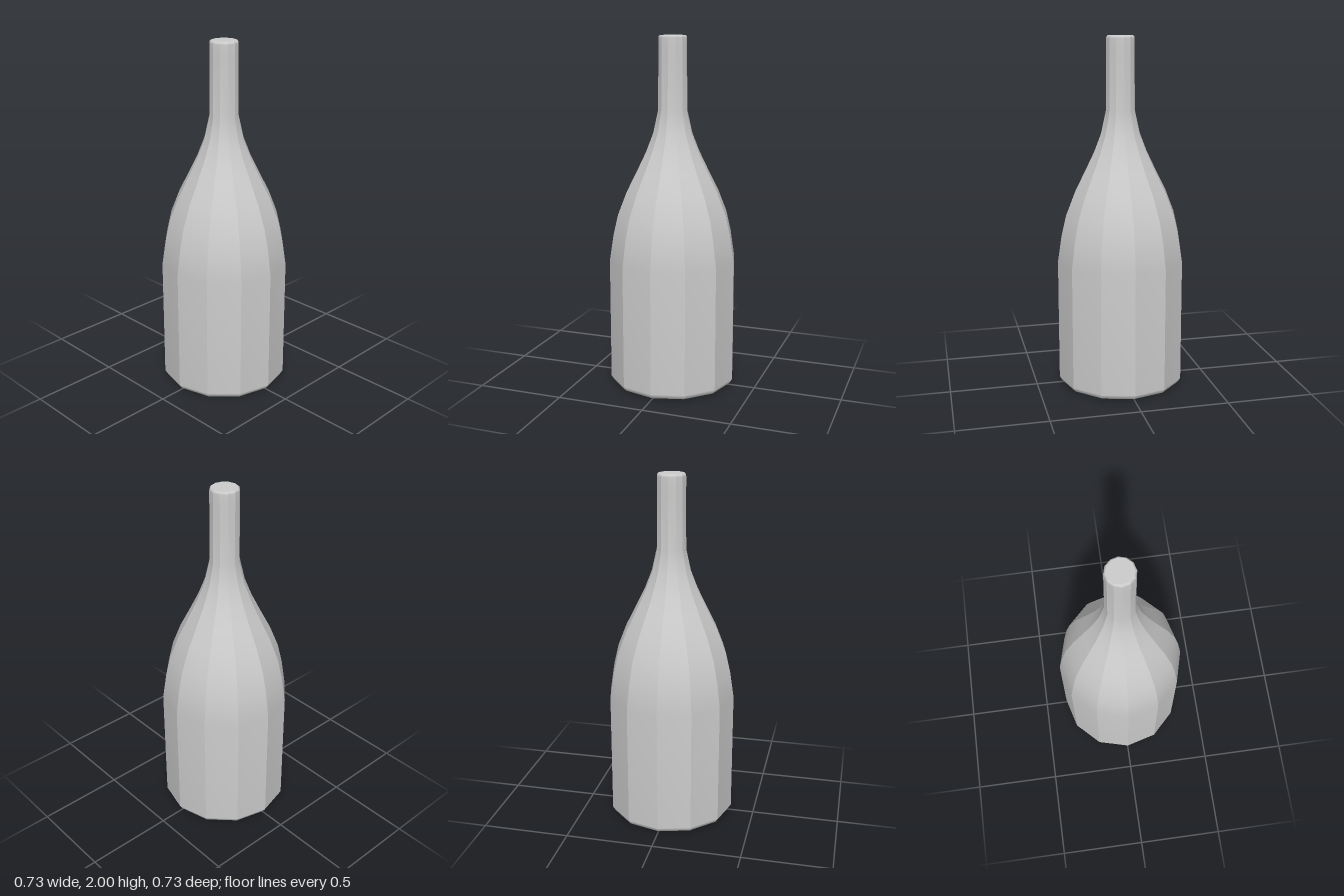
import * as THREE from 'three';
import { mergeGeometries } from 'three/addons/utils/BufferGeometryUtils.js';

const SIDES = 12;

// Radius and height from the base edge to the rim of the mouth
const profile = [
  [0.333, 0], [0.35, 0.008], [0.366, 0.035], [0.366, 0.735], [0.343, 0.885],
  [0.316, 1.0], [0.265, 1.13], [0.204, 1.25], [0.153, 1.355], [0.112, 1.46],
  [0.083, 1.59], [0.081, 1.91], [0.081, 1.985], [0.078, 1.995], [0.071, 2],
].map(([r, y]) => new THREE.Vector2(r, y));

export function createModel() {
  const group = new THREE.Group();
  const material = new THREE.MeshStandardMaterial({ color: 0xcccccc });
  const add = (name, geometry) => {
    const mesh = new THREE.Mesh(geometry, material);
    mesh.name = name;
    group.add(mesh);
    return mesh;
  };

  // Each facet is smooth along its height, with a hard edge to its neighbours
  const step = (Math.PI * 2) / SIDES;
  const facets = [];
  for (let i = 0; i < SIDES; i++) {
    const facet = new THREE.LatheGeometry(profile, 1, i * step, step);
    facet.computeVertexNormals();
    facets.push(facet);
  }
  add('bottleBody', mergeGeometries(facets));

  // Flat closing faces at both ends
  const addCap = (name, point, facing) => {
    const cap = add(name, new THREE.CircleGeometry(point.x, SIDES));
    cap.rotation.x = facing * -Math.PI / 2;
    cap.position.y = point.y;
  };
  addCap('bottleBase', profile[0], -1);
  addCap('bottleMouth', profile[profile.length - 1], 1);

  return group;
}
